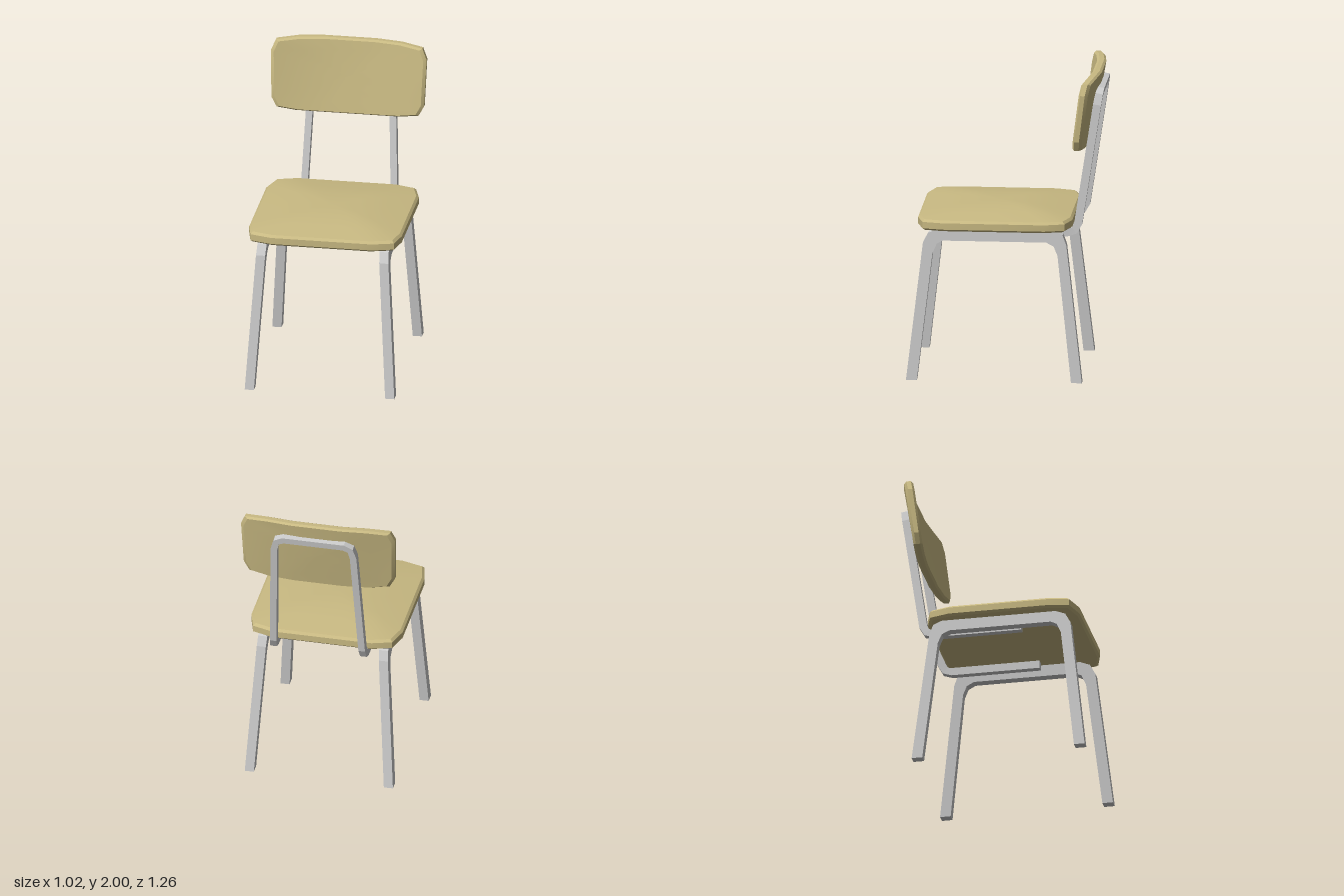
import * as THREE from 'three';
import { toCreasedNormals } from 'three/addons/utils/BufferGeometryUtils.js';

const wood = new THREE.MeshStandardMaterial({ color: 0xc8b982 });
const metal = new THREE.MeshStandardMaterial({ color: 0xcccccc });

// Closed solid through equal-sized rings of Vector3, ends capped with fans
function loft(rings, crease) {
  const pos = [];
  const n = rings[0].length;
  const tri = (...pts) => pts.forEach((p) => pos.push(p.x, p.y, p.z));
  for (let r = 0; r < rings.length - 1; r++) {
    const a = rings[r], b = rings[r + 1];
    for (let i = 0; i < n; i++) {
      const j = (i + 1) % n;
      tri(a[i], a[j], b[j]);
      tri(a[i], b[j], b[i]);
    }
  }
  const cap = (ring, flip) => {
    const c = ring.reduce((s, p) => s.add(p), new THREE.Vector3()).divideScalar(n);
    ring.forEach((p, i) => {
      const q = ring[(i + 1) % n];
      if (flip) tri(c, q, p); else tri(c, p, q);
    });
  };
  cap(rings[0], true);
  cap(rings[rings.length - 1], false);

  // Turn the faces outward if the enclosed volume is negative
  let volume = 0;
  const v = (k) => new THREE.Vector3(pos[k], pos[k + 1], pos[k + 2]);
  for (let k = 0; k < pos.length; k += 9) volume += v(k).dot(v(k + 3).cross(v(k + 6)));
  if (volume < 0) {
    for (let k = 0; k < pos.length; k += 9) {
      for (let m = 0; m < 3; m++) [pos[k + 3 + m], pos[k + 6 + m]] = [pos[k + 6 + m], pos[k + 3 + m]];
    }
  }
  const geo = new THREE.BufferGeometry();
  geo.setAttribute('position', new THREE.Float32BufferAttribute(pos, 3));
  return toCreasedNormals(geo, crease);
}

// Full outline from its +x half, listed end to end
const mirrorOutline = (half) => [...half, ...half.map(([x, y]) => [-x, y]).reverse()];

function add(group, name, geo, material) {
  const mesh = new THREE.Mesh(geo, material);
  mesh.name = name;
  group.add(mesh);
}

// Domed seat: rings of [scale, height] about its middle
function seatGeometry() {
  const outline = mirrorOutline([
    [0.17, 0.57], [0.33, 0.57], [0.47, 0.53], [0.5, 0.4], [0.5, 0.07],
    [0.5, -0.26], [0.46, -0.39], [0.33, -0.43], [0.17, -0.43],
  ]);
  const layers = [[0.97, 0.99], [1, 1.003], [1, 1.045], [0.97, 1.06], [0.66, 1.083], [0.36, 1.1]];
  return loft(layers.map(([s, y]) => outline.map(([x, z]) =>
    new THREE.Vector3(x * s, y, 0.07 + (z - 0.07) * s))), 0.4);
}

// Backrest panel, leaning back and wrapping forward at its sides
function backrestGeometry() {
  const outline = mirrorOutline([
    [0.17, 2], [0.34, 1.997], [0.48, 1.98], [0.51, 1.91], [0.505, 1.75],
    [0.5, 1.6], [0.465, 1.535], [0.34, 1.515], [0.17, 1.51],
  ]);
  const layers = [[0.02, -0.03], [0.35, -0.03], [0.7, -0.03], [0.96, -0.03], [1, -0.015],
    [1, 0.015], [0.96, 0.03], [0.7, 0.03], [0.35, 0.03], [0.02, 0.03]];
  return loft(layers.map(([s, d]) => outline.map(([px, py]) => {
    const x = px * s, y = 1.755 + (py - 1.755) * s;
    const t = (y - 1.51) / 0.49;
    const z = -0.495 - 0.09 * t + (0.035 + 0.025 * t) * (x / 0.5) ** 2;
    return new THREE.Vector3(x, y, z + d);
  })), 0.4);
}

// Side frame: front leg, rail and back leg in one bent bar, splayed outward
function sideFrameGeometry(side) {
  const profile = [
    [0.635, 0], [0.53, 0.9], [0.495, 0.965], [0.43, 0.99], [-0.32, 0.99], [-0.375, 0.965], [-0.4, 0.9],
    [-0.505, 0], [-0.435, 0], [-0.343, 0.83], [-0.318, 0.89], [-0.27, 0.915], [0.4, 0.915],
    [0.44, 0.895], [0.468, 0.83], [0.565, 0],
  ].map(([z, y]) => new THREE.Vector2(z, y));
  const geo = new THREE.ExtrudeGeometry(new THREE.Shape(profile), { depth: 0.06, bevelEnabled: false });
  geo.translate(0, 0, -0.03).rotateY(-Math.PI / 2);
  const p = geo.attributes.position;
  for (let i = 0; i < p.count; i++) {
    p.setX(i, p.getX(i) + side * (0.4 + 0.06 * (1 - p.getY(i) / 0.96)));
  }
  geo.computeVertexNormals();
  return geo;
}

// Back frame: rectangular bar along a hoop; the fourth value turns its depth from y to z
function backFrameGeometry() {
  const half = [
    [0.298, 0.962, 0.18, 0], [0.298, 0.962, -0.4, 0], [0.297, 0.975, -0.442, 0.7],
    [0.293, 1.02, -0.467, 1.415], [0.262, 1.8, -0.586, 1.415], [0.245, 1.86, -0.595, 1.415],
    [0.2, 1.882, -0.599, 1.415],
  ];
  const path = [...half, ...half.map(([x, ...rest]) => [-x, ...rest]).reverse()];
  const pts = path.map(([x, y, z]) => new THREE.Vector3(x + 0.012, y, z));
  const rings = pts.map((p, i) => {
    const dir = (a, b) => pts[b].clone().sub(pts[a]).normalize();
    const before = dir(Math.max(i - 1, 0), Math.max(i, 1));
    const after = dir(Math.min(i, pts.length - 2), Math.min(i + 1, pts.length - 1));
    const tangent = before.add(after).normalize();
    const depth = new THREE.Vector3(0, Math.cos(path[i][3]), Math.sin(path[i][3]));
    const width = tangent.cross(depth).normalize();
    return [[1, 1], [-1, 1], [-1, -1], [1, -1]].map(([w, d]) =>
      p.clone().addScaledVector(width, w * 0.022).addScaledVector(depth, d * 0.026));
  });
  return loft(rings, 0.1);
}

export function createModel() {
  const chair = new THREE.Group();
  chair.name = 'chair';
  add(chair, 'seat', seatGeometry(), wood);
  add(chair, 'backrest', backrestGeometry(), wood);
  add(chair, 'backFrame', backFrameGeometry(), metal);
  add(chair, 'leftLegFrame', sideFrameGeometry(1), metal);
  add(chair, 'rightLegFrame', sideFrameGeometry(-1), metal);
  return chair;
}
